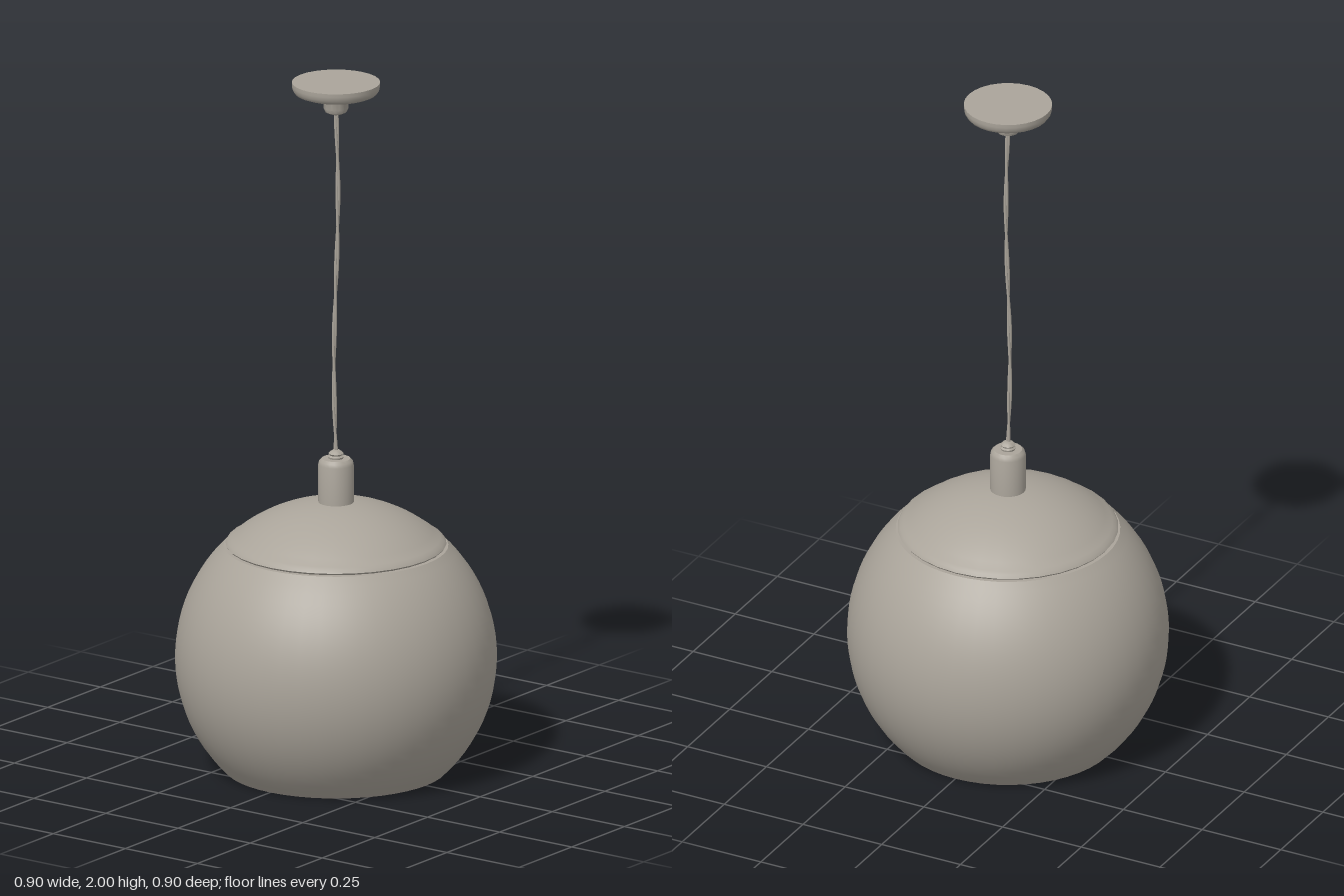
import * as THREE from 'three';
import { toCreasedNormals } from 'three/addons/utils/BufferGeometryUtils.js';

export function createModel() {
  const group = new THREE.Group();
  const grey = new THREE.MeshStandardMaterial({ color: 0xaaa49a });
  grey.name = 'warmGrey';

  const add = (name, geometry) => {
    const mesh = new THREE.Mesh(geometry, grey);
    mesh.name = name;
    group.add(mesh);
  };
  // Profiles run up the outside, from [radius, height] pairs
  const lathe = (name, points, sides) => {
    const profile = points.map(([r, y]) => new THREE.Vector2(r, y));
    add(name, toCreasedNormals(new THREE.LatheGeometry(profile, sides), 0.6));
  };
  // Arc of a sphere centred on the axis at height 0.325
  const arc = (radius, y0, y1, steps) => {
    const a0 = Math.asin((y0 - 0.325) / radius);
    const a1 = Math.asin(Math.min(1, (y1 - 0.325) / radius));
    return Array.from({ length: steps + 1 }, (_, i) => {
      const a = a0 + (a1 - a0) * i / steps;
      return [Math.max(0, radius * Math.cos(a)), 0.325 + radius * Math.sin(a)];
    });
  };

  // Hollow globe, open at the bottom
  const outer = arc(0.451, 0, 0.648, 24);
  const inner = arc(0.44, 0, 0.765, 28).reverse();
  lathe('globeShade', [...outer, [0.295, 0.648]], 48);
  lathe('globeLining', [...inner, outer[0]], 48);

  // Domed cap with a rounded lip, above a fine seam
  lathe('shadeCap', [[0.29, 0.648], [0.306, 0.65], [0.31, 0.655], [0.304, 0.664],
    ...arc(0.453, 0.67, 0.778, 12)], 32);

  // Socket sleeve
  lathe('socketSleeve', [[0.05, 0.76], [0.05, 0.885], [0.047, 0.895], [0.04, 0.902], [0, 0.902]], 24);

  // Ribbed cord grip
  lathe('cordGrip', [[0.02, 0.9], [0.022, 0.907], [0.017, 0.911], [0.021, 0.916],
    [0.016, 0.922], [0.008, 0.927], [0, 0.927]], 16);

  // Two slightly wavy, twisted strands of cord
  for (const side of [-1, 1]) {
    const path = Array.from({ length: 25 }, (_, i) => {
      const t = i / 24;
      const sway = Math.sin(t * Math.PI * 2) * 0.004;
      const twist = t * Math.PI * 5;
      return new THREE.Vector3(
        -sway + side * 0.003 * Math.cos(twist),
        0.915 + t * 1.005,
        sway + side * 0.003 * Math.sin(twist));
    });
    add(side < 0 ? 'cordStrandA' : 'cordStrandB',
      new THREE.TubeGeometry(new THREE.CatmullRomCurve3(path), 72, 0.004, 8));
  }

  // Ceiling canopy with its stepped neck
  lathe('ceilingCanopy', [[0, 1.908], [0.018, 1.908], [0.03, 1.914], [0.035, 1.925], [0.035, 1.944],
    [0.04, 1.953], [0.06, 1.958], [0.1, 1.963], [0.115, 1.969], [0.122, 1.979],
    [0.124, 1.99], [0.124, 2], [0, 2]], 28);

  return group;
}
